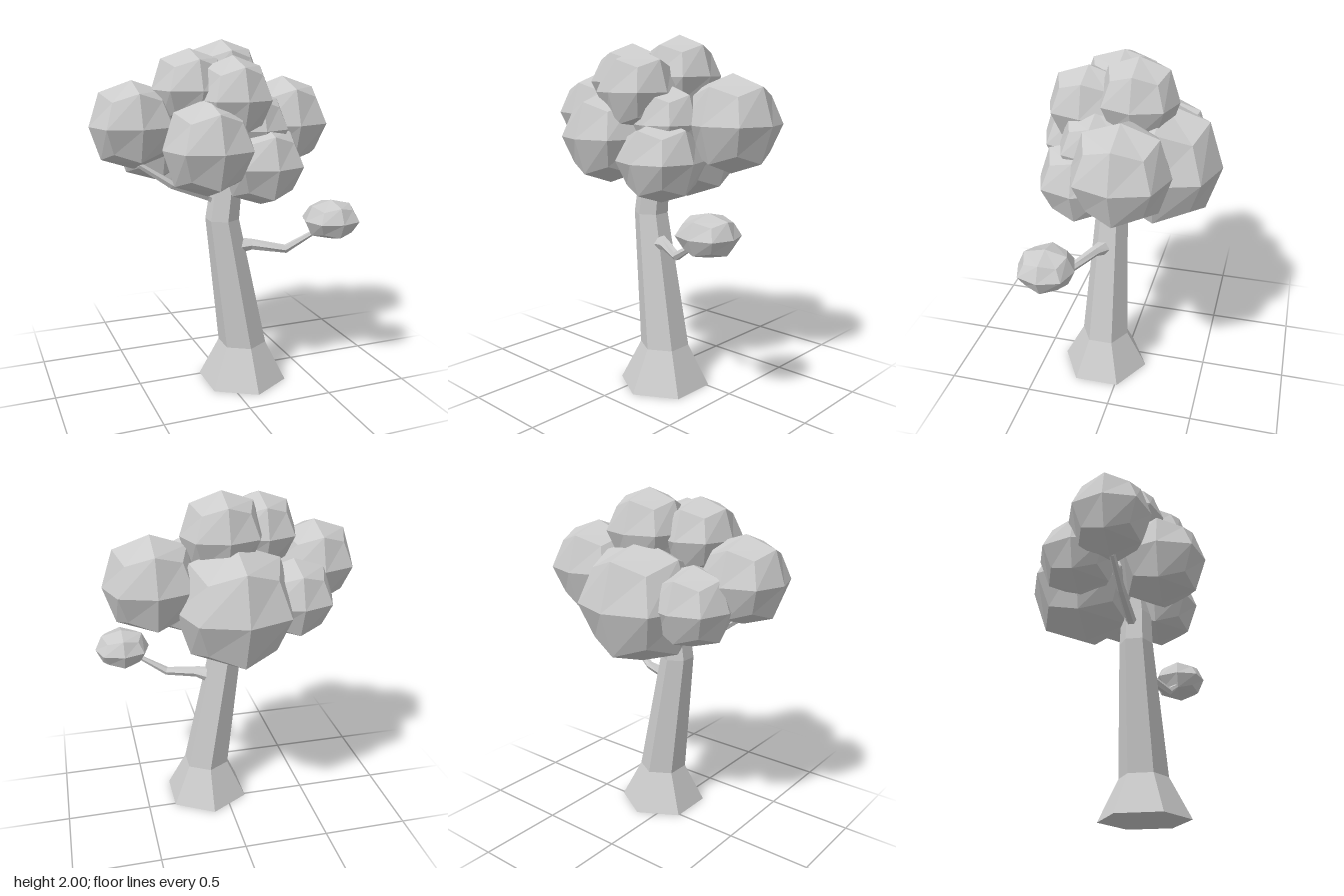
import * as THREE from 'three';

const material = new THREE.MeshStandardMaterial({ color: 0xcccccc, flatShading: true });

// Six-sided loft through rings [x, y, z, radius]; level keeps the rings horizontal
function loft(name, rings, level = false) {
  const sides = 6;
  const pos = [];
  const index = [];
  const centres = rings.map(([x, y, z]) => new THREE.Vector3(x, y, z));
  const last = rings.length - 1;
  rings.forEach(([, , , radius], i) => {
    const dir = level
      ? new THREE.Vector3(0, 1, 0)
      : centres[Math.min(i + 1, last)].clone().sub(centres[Math.max(i - 1, 0)]).normalize();
    const u = dir.clone().cross(new THREE.Vector3(0, 0, 1)).normalize();
    const v = dir.clone().cross(u);
    for (let j = 0; j < sides; j++) {
      const a = Math.PI / 2 + (j / sides) * Math.PI * 2;
      const p = centres[i].clone()
        .addScaledVector(u, Math.cos(a) * radius)
        .addScaledVector(v, Math.sin(a) * radius);
      pos.push(p.x, p.y, p.z);
    }
  });
  const base = rings.length * sides;
  pos.push(...centres[0].toArray(), ...centres[last].toArray());
  for (let j = 0; j < sides; j++) {
    const k = (j + 1) % sides;
    for (let i = 0; i < last; i++) {
      const a = i * sides, b = a + sides;
      index.push(a + j, a + k, b + k, a + j, b + k, b + j);
    }
    index.push(base, k, j, base + 1, last * sides + j, last * sides + k);
  }
  const geometry = new THREE.BufferGeometry();
  geometry.setAttribute('position', new THREE.Float32BufferAttribute(pos, 3));
  geometry.setIndex(index);
  geometry.computeVertexNormals();
  const mesh = new THREE.Mesh(geometry, material);
  mesh.name = name;
  return mesh;
}

// Once-smoothed cube: edge midpoints and corners are drawn in towards the centre
function clumpGeometry() {
  const geometry = new THREE.BoxGeometry(2, 2, 2, 2, 2, 2);
  const p = geometry.attributes.position;
  const v = new THREE.Vector3();
  const pull = [0, 1, 0.75, 0.565];
  for (let i = 0; i < p.count; i++) {
    v.fromBufferAttribute(p, i).round();
    v.multiplyScalar(pull[Math.abs(v.x) + Math.abs(v.y) + Math.abs(v.z)]);
    p.setXYZ(i, v.x, v.y, v.z);
  }
  geometry.computeVertexNormals();
  return geometry;
}

export function createModel() {
  const tree = new THREE.Group();
  tree.name = 'tree';

  // Leaning trunk with a flared foot
  tree.add(loft('trunk', [
    [0.108, 0, 0.118, 0.262],
    [0.107, 0.235, 0.117, 0.142],
    [-0.015, 1.0, 0.1, 0.098],
    [0.01, 1.2, 0.1, 0.09],
    [0.03, 1.5, 0.08, 0.07],
  ], true));

  // Branches
  tree.add(loft('lowerBranch', [
    [0.07, 0.835, 0.12, 0.05],
    [0.15, 0.845, 0.16, 0.032],
    [0.32, 0.825, 0.25, 0.025],
    [0.48, 0.92, 0.29, 0.014],
    [0.58, 0.98, 0.3, 0.012],
  ]));
  tree.add(loft('upperBranch', [
    [-0.01, 1.09, 0.09, 0.04],
    [-0.09, 1.135, 0.08, 0.03],
    [-0.3, 1.21, 0.06, 0.025],
    [-0.48, 1.33, 0.04, 0.018],
    [-0.52, 1.42, 0.03, 0.015],
  ]));

  // Foliage: centre, then radii
  const clumps = [
    [0.58, 0.99, 0.3, 0.162, 0.115, 0.158],
    [-0.51, 1.55, 0.03, 0.238, 0.24, 0.235],
    [-0.165, 1.44, 0.275, 0.25, 0.262, 0.26],
    [0.175, 1.325, 0.215, 0.232, 0.23, 0.24],
    [0.43, 1.52, -0.072, 0.265, 0.27, 0.262],
    [0, 1.4, -0.2, 0.33, 0.345, 0.337],
    [0.045, 1.77, -0.075, 0.228, 0.23, 0.22],
    [0.003, 1.69, 0.21, 0.21, 0.23, 0.23],
    [-0.195, 1.74, 0.063, 0.215, 0.215, 0.237],
    [-0.33, 1.42, -0.18, 0.23, 0.22, 0.23],
    [0.15, 1.52, 0.13, 0.2, 0.21, 0.21],
  ];
  const geometry = clumpGeometry();
  const foliage = new THREE.Group();
  foliage.name = 'foliage';
  clumps.forEach(([x, y, z, rx, ry, rz], i) => {
    const mesh = new THREE.Mesh(geometry, material);
    mesh.name = i === 0 ? 'branchLeafClump' : `crownLeafClump${i}`;
    mesh.position.set(x, y, z);
    mesh.scale.set(rx, ry, rz);
    foliage.add(mesh);
  });
  tree.add(foliage);
  return tree;
}
